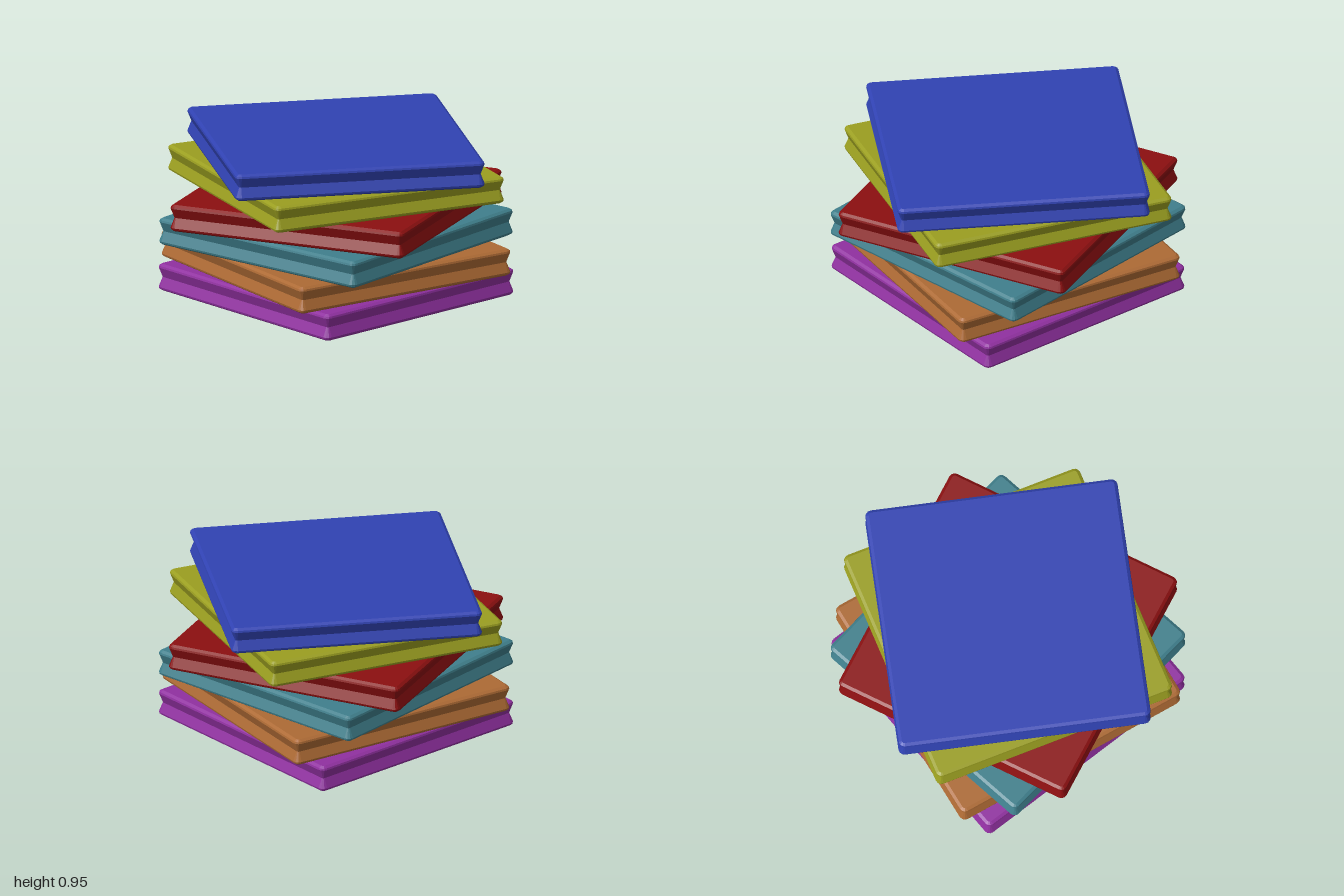
import * as THREE from 'three';

const HALF = 0.738;     // half width at the lips
const RADIUS = 0.035;   // corner radius at the lips
const THICK = 0.16;
const PITCH = 0.159;
const CORNER_STEPS = 3;

// Edge profile from bottom to top: [inset from the lip, height]
const PROFILE = [
  [0.02, 0], [0.003, 0.011], [0, 0.022], [0.023, 0.08],
  [0, 0.138], [0.003, 0.149], [0.02, THICK],
];

// Rounded square ring at one level of the profile
function ring(inset, y) {
  const c = HALF - RADIUS, r = RADIUS - inset, points = [];
  for (let q = 0; q < 4; q++) {
    const mid = Math.PI / 4 + q * Math.PI / 2;
    const cx = c * Math.sign(Math.cos(mid)), cz = c * Math.sign(Math.sin(mid));
    for (let k = 0; k <= CORNER_STEPS; k++) {
      const a = (q + k / CORNER_STEPS) * Math.PI / 2;
      points.push(cx + r * Math.cos(a), y, cz + r * Math.sin(a));
    }
  }
  return points;
}

// Square slab lofted through the rings, with flat caps
function slabGeometry() {
  const n = 4 * (CORNER_STEPS + 1), last = PROFILE.length - 1;
  const positions = PROFILE.flatMap(([inset, y]) => ring(inset, y));
  positions.push(0, 0, 0, 0, THICK, 0);
  const bottom = n * PROFILE.length, top = bottom + 1, index = [];
  for (let i = 0; i < n; i++) {
    const j = (i + 1) % n;
    for (let l = 0; l < last; l++) {
      const a = l * n + i, b = l * n + j, c = a + n, d = b + n;
      index.push(a, c, b, b, c, d);
    }
    index.push(bottom, i, j, top, last * n + j, last * n + i);
  }
  const geometry = new THREE.BufferGeometry();
  geometry.setAttribute('position', new THREE.Float32BufferAttribute(positions, 3));
  geometry.setIndex(index);
  const flat = geometry.toNonIndexed();
  flat.computeVertexNormals();
  return flat;
}

// Slabs from bottom to top: name, colour, clockwise turn in degrees
const SLABS = [
  ['purpleSlab', 0x9030a0, 0],
  ['orangeSlab', 0xad6a34, 8.4],
  ['tealSlab', 0x3f7f8c, -8.4],
  ['redSlab', 0x8b0f10, -24.3],
  ['yellowSlab', 0x9a9e20, 16.7],
  ['blueSlab', 0x3042b2, 31],
];

export function createModel() {
  const group = new THREE.Group();
  group.name = 'slabStack';
  const geometry = slabGeometry();
  SLABS.forEach(([name, color, degrees], i) => {
    const material = new THREE.MeshStandardMaterial({ color, flatShading: true });
    const slab = new THREE.Mesh(geometry, material);
    slab.name = name;
    slab.position.y = i * PITCH;
    slab.rotation.y = -THREE.MathUtils.degToRad(degrees);
    group.add(slab);
  });
  return group;
}
